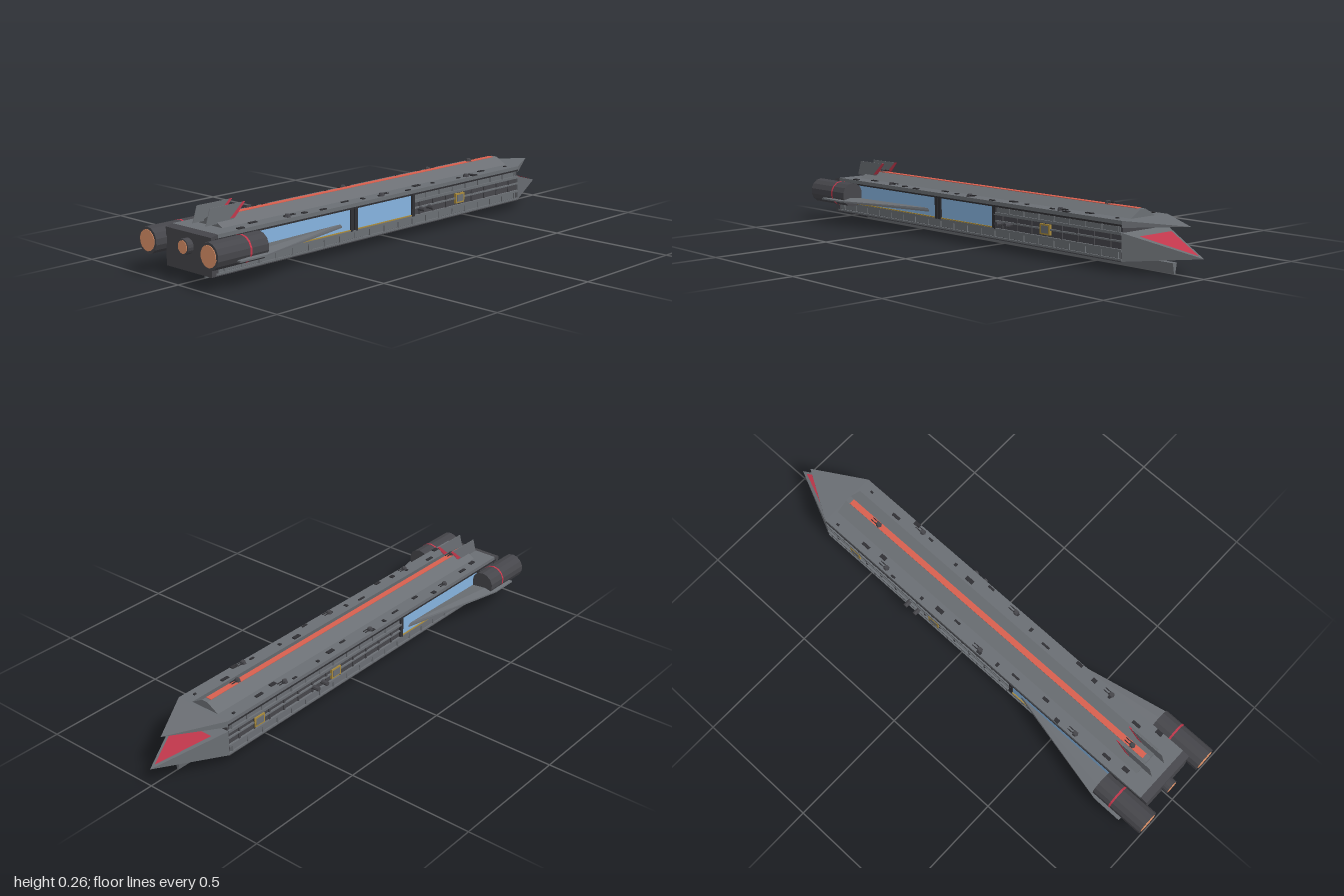
import * as THREE from 'three';
import { ConvexGeometry } from 'three/addons/geometries/ConvexGeometry.js';

const paint = (color, extra = {}) => new THREE.MeshStandardMaterial({ color, flatShading: true, ...extra });
const hullGrey = paint(0x6b6f74);
const dark = paint(0x46464b);
const black = paint(0x303034);
const orange = paint(0xe0946a);
const red = paint(0xd9604f);
const crimson = paint(0xc2384c, { side: THREE.DoubleSide });
const blue = paint(0x86b4e0);
const yellow = paint(0xa88a3c);

export function createModel() {
  const model = new THREE.Group();
  const add = (name, geometry, material, x = 0, y = 0, z = 0, parent = model) => {
    const mesh = new THREE.Mesh(geometry, material);
    mesh.name = name;
    mesh.position.set(x, y, z);
    parent.add(mesh);
    return mesh;
  };
  // Box given by its extents on each axis
  const block = (name, m, x0, x1, y0, y1, z0, z1, parent) =>
    add(name, new THREE.BoxGeometry(Math.abs(x1 - x0), y1 - y0, z1 - z0), m,
      (x0 + x1) / 2, (y0 + y1) / 2, (z0 + z1) / 2, parent);
  const solid = (name, m, points, parent) =>
    add(name, new ConvexGeometry(points.map(p => new THREE.Vector3(...p))), m, 0, 0, 0, parent);
  // Prism along z from an x/y outline
  const prism = (name, m, outline, z0, z1) =>
    solid(name, m, outline.flatMap(([x, y]) => [[x, y, z0], [x, y, z1]]));
  const drum = (name, m, r, z0, z1, x, y, sides, parent) =>
    add(name, new THREE.CylinderGeometry(r, r, z1 - z0, sides).rotateX(Math.PI / 2), m, x, y, (z0 + z1) / 2, parent);

  // Main hull
  block('hullCore', dark, -0.116, 0.116, 0.04, 0.172, -0.73, 0.93);
  block('roofDeck', hullGrey, -0.122, 0.122, 0.17, 0.185, -0.73, 0.92);
  block('bellyPlate', dark, -0.122, 0.122, 0.038, 0.046, -0.73, 0.93);
  solid('sternPlate', dark, [-1, 1].flatMap(s => [
    [s * 0.122, 0.038, 0.92], [s * 0.122, 0.185, 0.92], [s * 0.122, 0.038, 0.95], [s * 0.122, 0.178, 0.95]]));

  // Split nose: overhanging roof beak and longer lower prow
  solid('upperNose', hullGrey, [[-0.122, 0.185, -0.73], [0.122, 0.185, -0.73],
    [-0.122, 0.16, -0.73], [0.122, 0.16, -0.73], [0, 0.175, -0.94]]);
  solid('lowerNose', hullGrey, [[-0.122, 0.142, -0.73], [0.122, 0.142, -0.73],
    [-0.122, 0.04, -0.73], [0.122, 0.04, -0.73], [0, 0.07, -1]]);
  const nosePanel = new THREE.BufferGeometry();
  nosePanel.setAttribute('position', new THREE.Float32BufferAttribute(
    [-0.085, 0.132, -0.78, 0.085, 0.132, -0.78, 0, 0.078, -0.977], 3));
  nosePanel.computeVertexNormals();
  add('nosePanel', nosePanel, crimson);

  // Roof ridge with its stripe
  prism('roofRidge', hullGrey, [[-0.065, 0.184], [0.065, 0.184], [0.013, 0.214], [-0.013, 0.214]], -0.72, 0.85);
  block('ridgeStripe', red, -0.012, 0.012, 0.212, 0.216, -0.7, 0.83);

  // Keel
  prism('keel', hullGrey, [[-0.011, 0.04], [0.011, 0.04], [0.003, 0], [-0.003, 0]], -0.87, 0.88);

  // Central engine
  drum('centreEngine', dark, 0.029, 0.94, 0.975, 0, 0.13, 16);
  drum('centreEngineGlow', orange, 0.024, 0.96, 0.977, 0, 0.13, 16);

  // Small gun turret
  const turret = (x, y, z) => {
    const g = new THREE.Group();
    g.name = 'turret';
    g.position.set(x, y, z);
    add('turretBase', new THREE.CylinderGeometry(0.009, 0.013, 0.013, 6), dark, 0, 0.006, 0, g);
    for (const s of [-1, 1]) block('turretBarrel', black, s * 0.004, s * 0.007, 0.006, 0.009, -0.035, 0, g);
    model.add(g);
  };
  turret(0, 0.215, -0.55);
  turret(0, 0.215, 0.77);

  for (const s of [-1, 1]) {
    const side = new THREE.Group();
    side.name = s > 0 ? 'leftSide' : 'rightSide';
    model.add(side);
    const bayFront = s > 0 ? -0.07 : 0.27;
    const panel = (name, m, out, y0, y1, z0, z1) =>
      block(name, m, s * 0.112, s * out, y0, y1, z0, z1, side);

    // Outboard engine
    drum('engine', dark, 0.05, 0.77, 0.998, s * 0.165, 0.13, 14, side);
    drum('engineBand', crimson, 0.0508, 0.847, 0.855, s * 0.165, 0.13, 14, side);
    drum('engineGlow', orange, 0.04, 0.97, 1, s * 0.165, 0.13, 14, side);

    // Swept wing plate carrying the engine
    solid('wing', hullGrey, [0.102, 0.108].flatMap(y => [
      [s * 0.11, y, 0.28], [s * 0.215, y, 0.77], [s * 0.224, y, 0.79], [s * 0.224, y, 0.91], [s * 0.11, y, 0.91]])
      .concat([[s * 0.11, 0.117, 0.29], [s * 0.18, 0.117, 0.77]]), side);

    // Hangar windows with frames
    const bays = s > 0 ? [[0.27, 0.8], [-0.07, 0.25]] : [[0.27, 0.8]];
    for (const [z0, z1] of bays) {
      panel('hangarWindow', blue, 0.119, 0.085, 0.165, z0, z1);
      panel('hangarSill', yellow, 0.1235, 0.083, 0.087, z0, z1);
      for (const z of [z0, z1]) panel('hangarPost', black, 0.125, 0.08, 0.17, z - 0.008, z + 0.008);
    }

    // Long rails, the lower ones full length and the upper ones ahead of the hangars
    panel('sideRail', hullGrey, 0.123, 0.042, 0.049, -0.73, 0.93);
    panel('sideRail', hullGrey, 0.125, 0.074, 0.083, -0.73, 0.93);
    panel('sideRail', black, 0.124, 0.165, 0.171, -0.73, 0.93);
    panel('sideRail', hullGrey, 0.123, 0.108, 0.114, -0.73, bayFront);
    panel('sideRail', hullGrey, 0.125, 0.134, 0.144, -0.73, bayFront);
    panel('sidePlating', hullGrey, 0.118, 0.05, 0.074, -0.72, 0.92);
    panel('sidePlating', hullGrey, 0.118, 0.144, 0.162, -0.72, bayFront - 0.01);

    // Vertical ribs
    for (let i = 0; i < 21; i++) {
      const z = -0.71 + i * 0.08;
      panel('lowerRib', hullGrey, 0.122, 0.046, 0.078, z - 0.004, z + 0.004);
      if (z < bayFront - 0.02) {
        panel('upperRib', hullGrey, 0.122, 0.14, 0.168, z - 0.004, z + 0.004);
        panel('middleRib', dark, 0.121, 0.083, 0.136, z + 0.034, z + 0.042);
      }
    }

    // Yellow hatches
    for (const z of s > 0 ? [-0.35] : [-0.57, -0.14]) {
      panel('hatch', yellow, 0.1255, 0.09, 0.13, z - 0.026, z + 0.026);
      panel('hatchDoor', hullGrey, 0.1265, 0.096, 0.124, z - 0.019, z + 0.019);
    }

    // Docking pods on the flank
    for (const z of s > 0 ? [-0.16, -0.11] : [-0.27, -0.22]) {
      const pod = add('dockingPod', new THREE.CylinderGeometry(0.009, 0.009, 0.04, 8), dark, s * 0.13, 0.105, z, side);
      pod.rotation.z = Math.PI / 2;
    }

    // Raked tail fin with a red leading edge
    const fin = (name, m, pts, t) => solid(name, m,
      [-t, t].flatMap(dx => pts.map(([z, y]) => [s * 0.035 + dx, y, z])), side);
    fin('tailFin', hullGrey, [[0.90, 0.195], [0.78, 0.195], [0.72, 0.255], [0.88, 0.255]], 0.0012);
    fin('finEdge', crimson, [[0.79, 0.205], [0.768, 0.205], [0.719, 0.2555], [0.732, 0.2555]], 0.0018);

    // Edge turrets
    for (const z of [-0.41, 0.09, 0.58]) turret(s * 0.104, 0.184, z);

    // Belly pods
    for (let i = 0; i < 7; i++) {
      const z = 0.1 + i * 0.12;
      solid('bellyPod', dark, [-1, 1].flatMap(d => [[s * 0.041 + d * 0.014, 0.041, z - 0.045],
        [s * 0.041 + d * 0.014, 0.041, z + 0.045], [s * 0.041 + d * 0.009, 0.03, z - 0.035],
        [s * 0.041 + d * 0.009, 0.03, z + 0.035]]), side);
    }

    // Scattered deck fittings
    for (let i = 0; i < 15; i++) {
      const x = s * (0.08 + 0.011 * ((i * 7 + (s > 0 ? 1 : 2)) % 4));
      const z = -0.68 + i * 0.105 + 0.02 * ((i * 5) % 3);
      const w = 0.004 + 0.002 * (i % 3), l = 0.006 + 0.004 * ((i * 3) % 4);
      block('deckFitting', black, x - w, x + w, 0.184, 0.189, z - l, z + l, side);
    }
  }
  return model;
}
